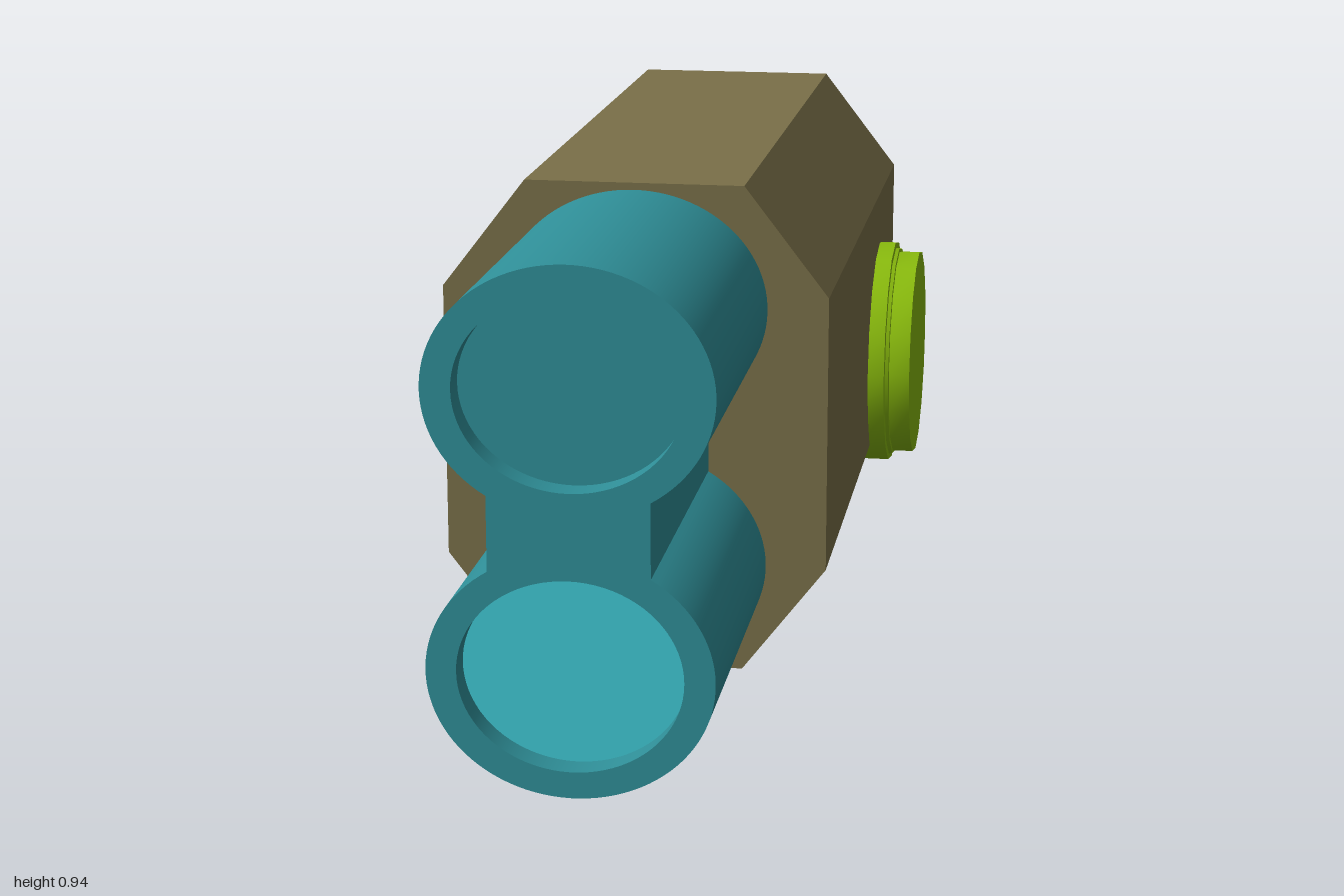
import * as THREE from 'three';
import { toCreasedNormals } from 'three/addons/utils/BufferGeometryUtils.js';

const CX = -0.044;                 // shared centre line of body and tubes
const TUBES = { lower: 0.22, upper: 0.712 };
const OUTER = [0.248, 0.217];      // oval radii of the tubes
const INNER = [0.195, 0.17];       // oval radii of the recesses
const FRONT = 1, FLOOR = 0.95, TUBE_BACK = 0.33;

const olive = new THREE.MeshStandardMaterial({ color: 0x7a7049 });
const teal = new THREE.MeshStandardMaterial({ color: 0x2f8f98 });
const cyan = new THREE.MeshStandardMaterial({ color: 0x40cad6 });
const green = new THREE.MeshStandardMaterial({ color: 0x88b90d });

function add(parent, name, geometry, material) {
  const mesh = new THREE.Mesh(geometry, material);
  mesh.name = name;
  parent.add(mesh);
  return mesh;
}

// Extrude a shape between two depths, smooth on its curves only
function extrude(shape, back, front) {
  const g = new THREE.ExtrudeGeometry(shape, { depth: front - back, bevelEnabled: false, curveSegments: 40 });
  g.translate(0, 0, back);
  return toCreasedNormals(g, 0.5);
}

function oval(Type, y) {
  return new Type().absellipse(CX, y, ...INNER, 0, Math.PI * 2, false, 0);
}

export function createModel() {
  const model = new THREE.Group();

  // Octagonal body
  const w = 0.361, tw = 0.204;
  const outline = [[tw, 0.013], [w, 0.217], [w, 0.738], [tw, 0.942], [-tw, 0.942], [-w, 0.738], [-w, 0.217], [-tw, 0.013]];
  const octagon = new THREE.Shape(outline.map(([x, y]) => new THREE.Vector2(CX + x, y)));
  add(model, 'body', extrude(octagon, -1, 0.357), olive);

  // Twin tubes joined by a web, drawn as one dumbbell outline
  const a = Math.acos(0.56);
  const dumbbell = () => new THREE.Shape()
    .absellipse(CX, TUBES.upper, ...OUTER, -a, Math.PI + a, false, 0)
    .absellipse(CX, TUBES.lower, ...OUTER, Math.PI - a, Math.PI * 2 + a, false, 0)
    .closePath();
  const tubes = new THREE.Group();
  tubes.name = 'twinTubes';
  model.add(tubes);
  const ringed = dumbbell();
  for (const y of Object.values(TUBES)) ringed.holes.push(oval(THREE.Path, y));
  add(tubes, 'tubeShell', extrude(ringed, TUBE_BACK, FRONT), teal);

  // Recess floors, the lower one a bright lens
  for (const [name, y] of Object.entries(TUBES)) {
    const disc = new THREE.ShapeGeometry(oval(THREE.Shape, y), 40);
    disc.translate(0, 0, FLOOR);
    add(tubes, name + 'Lens', disc, name === 'lower' ? cyan : teal);
  }
  // Closing face at the back of the tubes
  const backFace = new THREE.ShapeGeometry(dumbbell(), 40);
  backFace.rotateY(Math.PI).translate(2 * CX, 0, TUBE_BACK);
  add(tubes, 'tubeBack', backFace, teal);

  // Stepped round knob on the left side
  const profile = [[0, 0.287], [0.24, 0.287], [0.24, 0.351], [0.228, 0.352], [0.226, 0.359], [0.22, 0.36], [0.22, 0.403], [0, 0.403]];
  const knob = new THREE.LatheGeometry(profile.map(([r, x]) => new THREE.Vector2(r, x)), 16);
  knob.rotateZ(-Math.PI / 2).translate(0, 0.387, -0.672);
  add(model, 'sideKnob', toCreasedNormals(knob, 0.6), green);

  return model;
}
